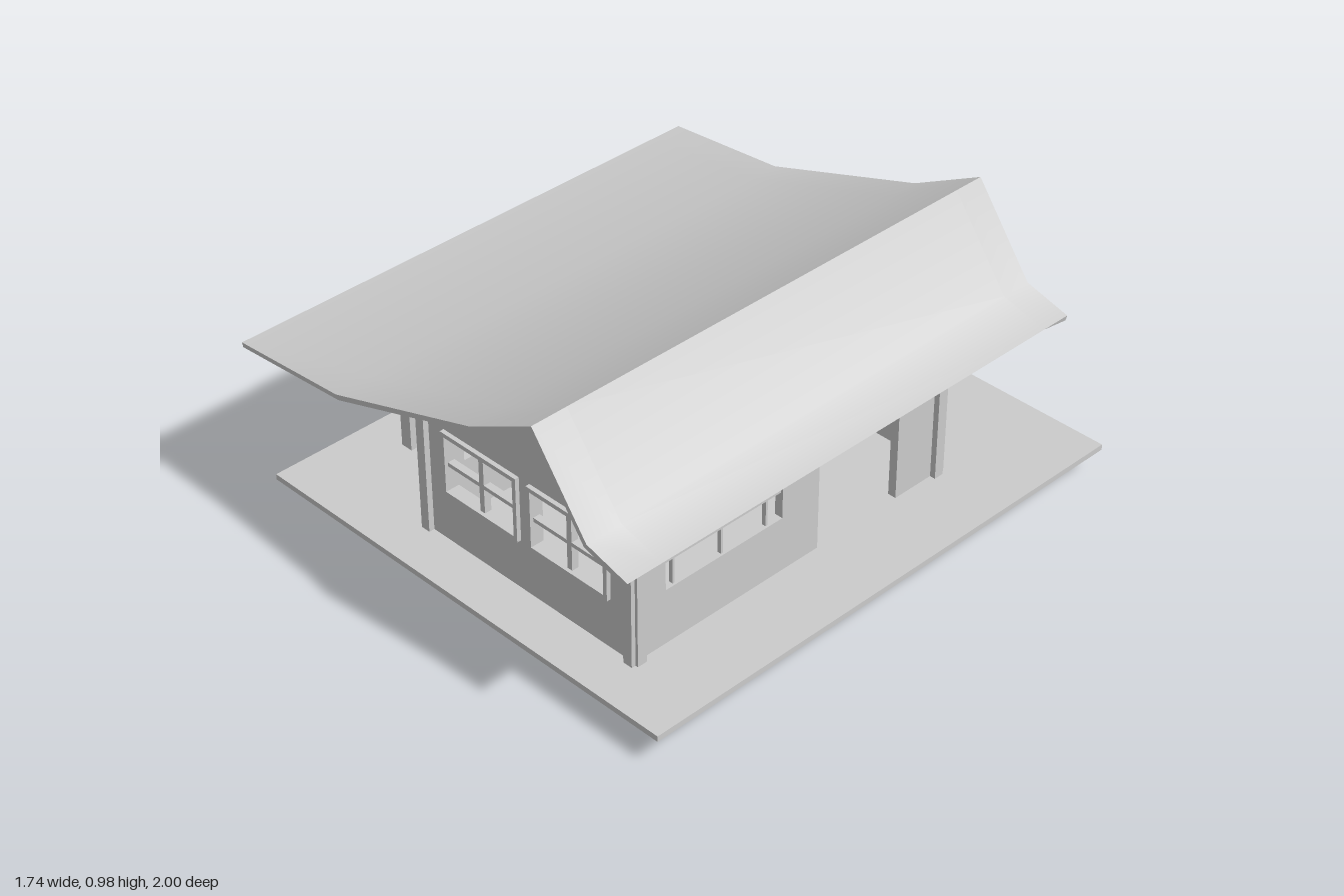
import * as THREE from 'three';
import { toCreasedNormals } from 'three/addons/utils/BufferGeometryUtils.js';

const material = new THREE.MeshStandardMaterial({ color: 0xcccccc, side: THREE.DoubleSide });

function add(parent, name, geometry) {
  const mesh = new THREE.Mesh(geometry, material);
  mesh.name = name;
  parent.add(mesh);
  return mesh;
}

// Box given by its extents on each axis
function box(parent, name, [x0, x1], [y0, y1], [z0, z1]) {
  const g = new THREE.BoxGeometry(x1 - x0, y1 - y0, z1 - z0);
  g.translate((x0 + x1) / 2, (y0 + y1) / 2, (z0 + z1) / 2);
  return add(parent, name, g);
}

const toShape = pts => new THREE.Shape(pts.map(p => new THREE.Vector2(...p)));

// Upright wall panel with rectangular holes [u0, u1, y0, y1]
function panel(parent, name, outline, holes, depth) {
  const shape = toShape(outline);
  for (const [a, b, c, d] of holes) {
    shape.holes.push(new THREE.Path([[a, c], [a, d], [b, d], [b, c]].map(p => new THREE.Vector2(...p))));
  }
  return add(parent, name, new THREE.ExtrudeGeometry(shape, { depth, bevelEnabled: false }));
}

// Window frame around an opening, with bars at the given positions
function windowUnit(parent, name, [u0, u1, y0, y1], verticals, horizontals, frame, bar, depth) {
  const g = new THREE.Group();
  g.name = name;
  const d = [-depth / 2, depth / 2], thin = [-depth / 4, depth / 4];
  for (const u of [u0, u1 - frame]) box(g, 'frameSide', [u, u + frame], [y0, y1], d);
  for (const y of [y0, y1 - frame]) box(g, 'frameRail', [u0, u1], [y, y + frame], d);
  for (const [u, w = bar] of verticals) box(g, 'mullion', [u - w / 2, u + w / 2], [y0, y1], thin);
  for (const [y, w = bar] of horizontals) box(g, 'glazingBar', [u0, u1], [y - w / 2, y + w / 2], thin);
  parent.add(g);
  return g;
}

// Roof profiles from the porch eave over the ridge to the other eave
const TOP = [[-0.87, 0.61], [-0.42, 0.645], [0.18, 0.84], [0.44, 0.975], [0.65, 0.69], [0.81, 0.645]];
const EDGE = [[-0.865, 0.595], [-0.41, 0.63], [0.185, 0.825], [0.435, 0.955], [0.64, 0.675], [0.805, 0.625]];
const SOFFIT = [[-0.76, 0.575], [-0.3, 0.605], [0.18, 0.79], [0.38, 0.91], [0.57, 0.65], [0.67, 0.605]];

// Loft of closed sections along z, with both ends capped
function roofGeometry() {
  const rings = [[1, EDGE], [0.87, SOFFIT], [-0.73, SOFFIT], [-0.84, EDGE]].map(([z, under]) =>
    [...TOP, ...[...under].reverse()].map(([x, y]) => [x, y, z]));
  const n = rings[0].length, position = [];
  const quad = (a, b, c, d) => position.push(...a, ...b, ...c, ...a, ...c, ...d);
  for (let r = 0; r < rings.length - 1; r++) {
    for (let i = 0; i < n; i++) {
      const j = (i + 1) % n;
      quad(rings[r][i], rings[r][j], rings[r + 1][j], rings[r + 1][i]);
    }
  }
  const first = rings[0], last = rings[rings.length - 1];
  for (let i = 0; i < TOP.length - 1; i++) {
    quad(first[i], first[n - 1 - i], first[n - 2 - i], first[i + 1]);
    quad(last[i], last[i + 1], last[n - 2 - i], last[n - 1 - i]);
  }
  const g = new THREE.BufferGeometry();
  g.setAttribute('position', new THREE.Float32BufferAttribute(position, 3));
  return toCreasedNormals(g, 0.7);
}

export function createModel() {
  const model = new THREE.Group();
  model.name = 'house';

  // Base and roof
  box(model, 'floor', [-0.83, 0.87], [0.09, 0.11], [-1, 0.95]);
  add(model, 'roof', roofGeometry());
  box(model, 'porchBeam', [-0.41, -0.32], [0.565, 0.61], [-0.73, 0.86]);
  box(model, 'eaveBeam', [0.62, 0.67], [0.6, 0.625], [-0.73, 0.86]);

  // Porch posts, run down through the floor
  for (const [z, w, y] of [[0.53, 0.08, 0.03], [0.065, 0.05, 0], [-0.4, 0.08, 0.03]]) {
    box(model, 'porchPost', [-0.675, -0.63], [y, 0.6], [z - w / 2, z + w / 2]);
  }
  box(model, 'innerColumn', [0.13, 0.17], [0.08, 0.78], [-0.04, 0]);

  // Front wall with its gable and two windows
  const gable = [[0.6, 0.63], [0.57, 0.66], [0.38, 0.92], [0.18, 0.8], [-0.3, 0.615]];
  const frontHoles = [[-0.205, 0.125, 0.29, 0.52], [0.17, 0.505, 0.29, 0.52]];
  panel(model, 'frontWall', [[-0.3, 0.11], [0.6, 0.11], ...gable], frontHoles, 0.03).position.z = 0.75;
  for (const h of frontHoles) {
    const mid = (h[0] + h[1]) / 2;
    windowUnit(model, 'frontWindow', h, [[mid, 0.02]], [[0.4, 0.014], [0.5, 0.008]], 0.015, 0.01, 0.05)
      .position.z = 0.77;
  }

  // Back wall: flat middle with a wide window, curving in to the corners
  const backHole = [-0.19, 0.49, 0.25, 0.5];
  panel(model, 'backWall', [[-0.22, 0.11], [0.52, 0.11], [0.52, 0.6], [0.6, 0.6], ...gable, [-0.3, 0.6], [-0.22, 0.6]],
    [backHole], 0.03).position.z = -0.57;
  const columns = [1, 2, 3, 4, 5].map(i => [-0.19 + i * 0.68 / 6]);
  windowUnit(model, 'backWindow', backHole, columns, [[0.335], [0.425]], 0.015, 0.01, 0.045).position.z = -0.56;
  for (const [x, side] of [[-0.22, -1], [0.52, 1]]) {
    const plan = [];
    for (const [rx, rz, order] of [[0.08, 0.08, [0, 1, 2, 3, 4, 5, 6]], [0.05, 0.05, [6, 5, 4, 3, 2, 1, 0]]]) {
      for (const i of order) {
        const a = i / 6 * Math.PI / 2;
        plan.push([x + side * rx * Math.sin(a), 0.49 + rz * Math.cos(a)]);
      }
    }
    const g = new THREE.ExtrudeGeometry(toShape(plan), { depth: 0.505, bevelEnabled: false });
    g.rotateX(-Math.PI / 2);
    g.translate(0, 0.11, 0);
    add(model, 'curvedBackCorner', toCreasedNormals(g, 0.6));
  }

  // Side walls, each with a window and an open doorway
  const sideHole = [0.17, 0.66, 0.3, 0.495];
  for (const [x, top, name] of [[0.6, 0.63, 'right'], [-0.27, 0.61, 'left']]) {
    const outline = [[-0.5, 0.11], [-0.33, 0.11], [-0.33, 0.495], [0.02, 0.495], [0.02, 0.11],
      [0.77, 0.11], [0.77, top], [-0.5, top]];
    const side = new THREE.Group();
    side.name = name + 'Side';
    panel(side, 'sideWall', outline, [sideHole], 0.03);
    windowUnit(side, 'sideWindow', sideHole, [[0.615], [0.42], [0.235]], [[0.4], [0.45, 0.005]], 0.006, 0.008, 0.03)
      .position.z = 0.015;
    side.rotation.y = -Math.PI / 2;
    side.position.x = x;
    model.add(side);
  }

  // Paired corner posts
  for (const [x, s] of [[-0.32, 1], [0.62, -1]]) {
    for (const [z, t] of [[0.8, -1], [-0.54, 1]]) {
      const span = (a, d, from, to) => [a + d * from, a + d * to].sort((p, q) => p - q);
      box(model, 'cornerPost', span(x, s, 0, 0.035), [0.11, 0.62], span(z, t, 0.015, 0.05));
      box(model, 'cornerPost', span(x, s, 0.01, 0.045), [0.11, 0.62], span(z, t, 0, 0.035));
    }
  }

  // Small chair and round table inside
  const chair = new THREE.Group();
  chair.name = 'chair';
  for (const x of [0.17, 0.196]) for (const z of [-0.155, -0.129]) {
    box(chair, 'chairLeg', [x, x + 0.004], [0.11, 0.135], [z, z + 0.004]);
  }
  box(chair, 'chairSeat', [0.17, 0.2], [0.135, 0.139], [-0.155, -0.125]);
  box(chair, 'chairBack', [0.17, 0.2], [0.139, 0.165], [-0.159, -0.155]);
  model.add(chair);
  const table = new THREE.Group();
  table.name = 'table';
  add(table, 'tableTop', new THREE.CylinderGeometry(0.02, 0.02, 0.006, 20)).position.y = 0.15;
  add(table, 'tableLeg', new THREE.CylinderGeometry(0.005, 0.014, 0.04, 12)).position.y = 0.13;
  table.position.set(0.18, 0, -0.065);
  model.add(table);

  return model;
}
